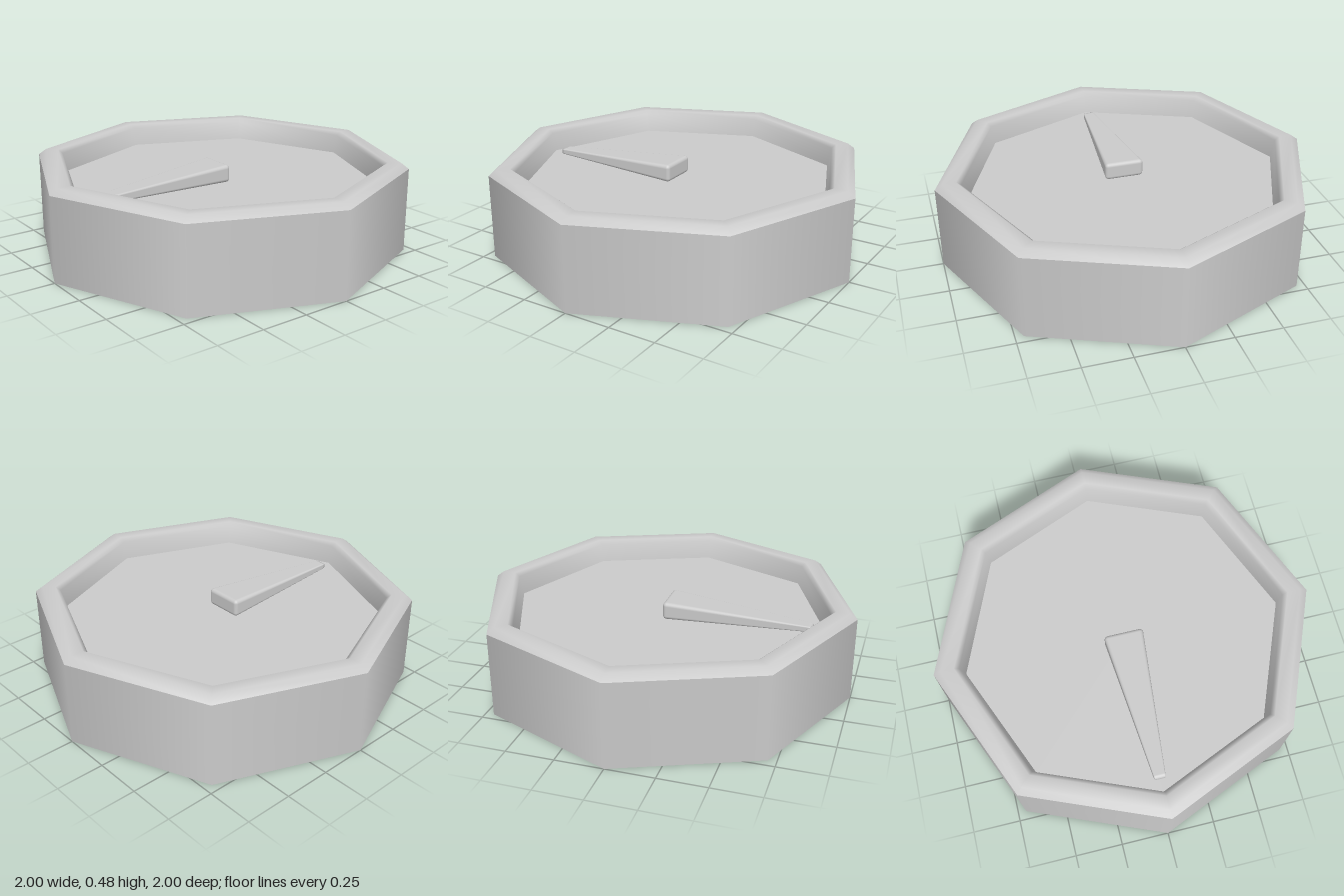
import * as THREE from 'three';
import { RoundedBoxGeometry } from 'three/addons/geometries/RoundedBoxGeometry.js';

const SIDES = 8;
const DISC_Y = 0.36;

export function createModel() {
  const group = new THREE.Group();
  const material = new THREE.MeshStandardMaterial({ color: 0xcccccc, side: THREE.DoubleSide });

  const add = (name, geometry) => {
    const mesh = new THREE.Mesh(geometry, material);
    mesh.name = name;
    group.add(mesh);
    return mesh;
  };
  const lathe = (points) =>
    new THREE.LatheGeometry(points.map(([r, y]) => new THREE.Vector2(r, y)), SIDES);

  // Eight-sided outer wall, open underneath
  add('outerWall', lathe([[1, 0], [1, 0.45]]));

  // Rounded rim, dropping to the recessed face
  add('rim', lathe([[1, 0.45], [0.96, 0.48], [0.89, 0.48], [0.865, 0.46], [0.845, DISC_Y]]));

  // Flat recessed face; rotated so that a corner points forward
  const face = new THREE.CircleGeometry(0.845, SIDES);
  face.rotateX(-Math.PI / 2);
  add('face', face).position.y = DISC_Y;

  // Pointer: a bevelled bar that narrows and thins towards the front
  const length = 0.78, height = 0.095;
  const pointer = new RoundedBoxGeometry(0.21, height, length, 3, 0.02);
  pointer.translate(0, height / 2, length / 2);
  const p = pointer.attributes.position;
  for (let i = 0; i < p.count; i++) {
    const t = p.getZ(i) / length;
    p.setX(i, p.getX(i) * THREE.MathUtils.lerp(1, 0.28, t));
    p.setY(i, p.getY(i) * THREE.MathUtils.lerp(1, 0.3, t));
  }
  add('pointer', pointer).position.y = DISC_Y;

  return group;
}
